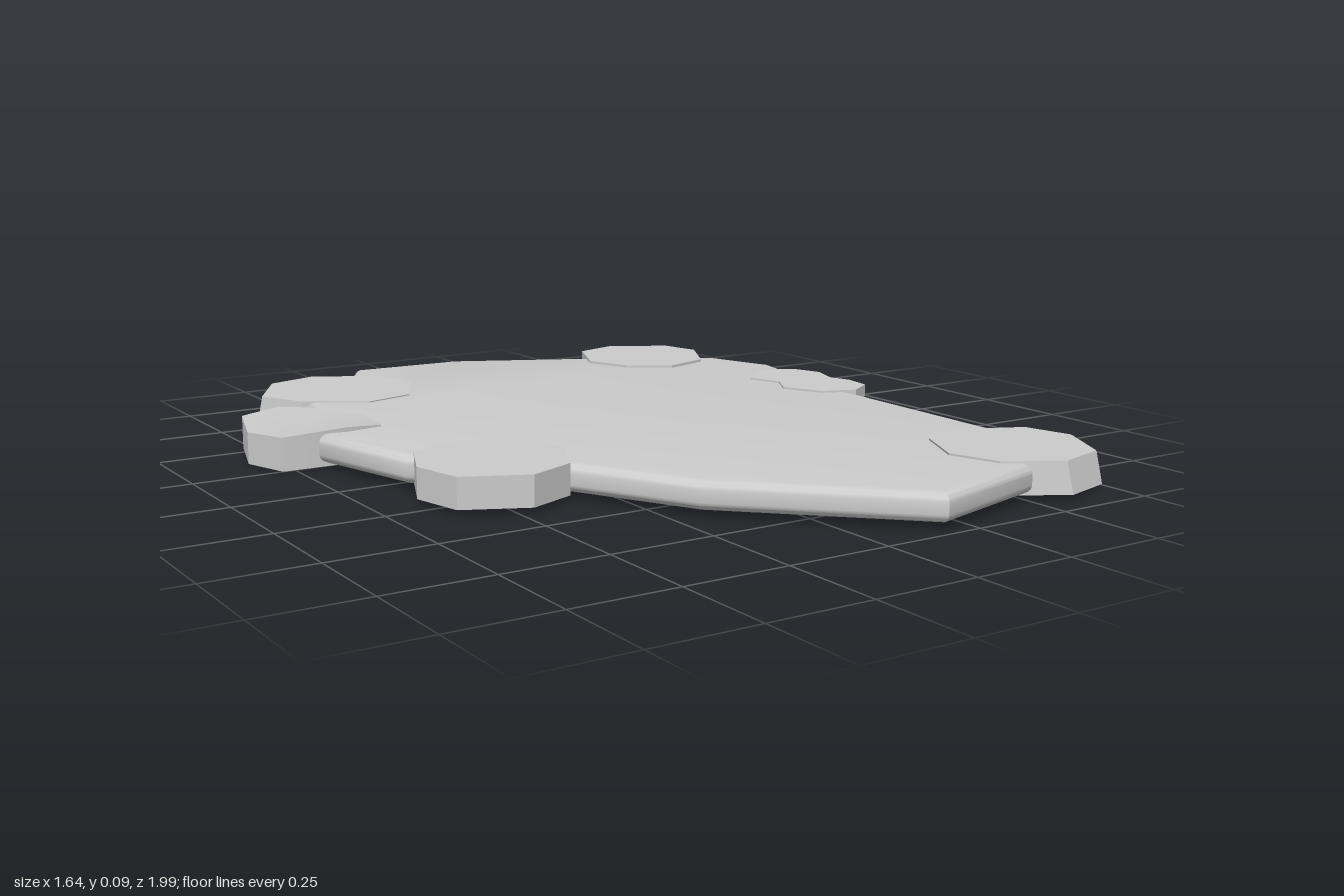
import * as THREE from 'three';
import { mergeVertices, toCreasedNormals } from 'three/addons/utils/BufferGeometryUtils.js';

const material = new THREE.MeshStandardMaterial({ color: 0xcccccc });

// Lays a plan outline of [x, z] points flat and thickens it from y0 to y1.
function slab(name, outline, y0, y1, bevel = 0, move = null, crease = 0.5) {
  const shape = new THREE.Shape(outline.map(([x, z]) => new THREE.Vector2(x, -z)));
  const rise = bevel * 0.8;
  const raw = new THREE.ExtrudeGeometry(shape, {
    depth: y1 - y0 - 2 * rise,
    bevelEnabled: bevel > 0,
    bevelThickness: rise,
    bevelSize: bevel,
    bevelOffset: -bevel,
    bevelSegments: 4,
  });
  raw.rotateX(-Math.PI / 2).translate(0, y0 + rise, 0);
  raw.deleteAttribute('uv');
  raw.deleteAttribute('normal');
  const geometry = mergeVertices(raw, 1e-4);
  if (move) {
    const p = geometry.attributes.position;
    const v = new THREE.Vector3();
    const mid = (y0 + y1) / 2;
    for (let i = 0; i < p.count; i++) {
      v.fromBufferAttribute(p, i);
      move(v, v.y > mid);
      p.setXYZ(i, v.x, v.y, v.z);
    }
  }
  const mesh = new THREE.Mesh(toCreasedNormals(geometry, crease), material);
  mesh.name = name;
  return mesh;
}

// Shifts the underside sideways so that the stone leans.
const lean = (dx, dz) => (v, top) => {
  if (!top) { v.x += dx; v.z += dz; }
};

export function createModel() {
  const group = new THREE.Group();
  group.name = 'stonePlatform';

  // Main plate with rounded rim
  group.add(slab('plate', [
    [-0.26, -1], [0.05, -0.985], [0.39, -0.82], [0.73, -0.62], [0.8, -0.43],
    [0.77, -0.28], [0.72, 0.03], [0.71, 0.6], [0.5, 0.9], [0.17, 0.99],
    [-0.2, 0.63], [-0.35, 0.35], [-0.62, 0.08], [-0.7, -0.22],
    [-0.58, -0.5], [-0.57, -0.62], [-0.32, -0.9],
  ], 0.016, 0.083, 0.025, null, 0.7));

  // Rim stones, clockwise from the back right
  group.add(slab('backRightStone', [
    [-0.64, -0.74], [-0.55, -0.9], [-0.42, -0.94], [-0.25, -0.85],
    [-0.22, -0.72], [-0.3, -0.56], [-0.43, -0.525], [-0.58, -0.62],
  ], 0.014, 0.086, 0, lean(-0.012, -0.008)));

  group.add(slab('backLeftStone', [
    [0.36, -0.72], [0.43, -0.88], [0.55, -0.915], [0.7, -0.83],
    [0.73, -0.72], [0.65, -0.57], [0.52, -0.53], [0.41, -0.6],
  ], 0.012, 0.09));

  // Wedge whose underside rises towards the back
  group.add(slab('leftWedge', [
    [0.6, -0.26], [0.71, -0.35], [0.79, -0.31], [0.82, -0.23], [0.78, -0.11], [0.66, -0.11],
  ], 0.02, 0.087, 0, (v, top) => {
    if (!top) v.y = 0.02 + 0.15 * Math.max(0, -0.12 - v.z);
  }));

  group.add(slab('leftStone', [
    [0.59, -0.1], [0.63, -0.17], [0.72, -0.19], [0.79, -0.14],
    [0.81, -0.09], [0.8, -0.01], [0.73, 0.035], [0.64, 0],
  ], 0.014, 0.088));

  group.add(slab('frontLeftStone', [
    [0.41, 0.73], [0.48, 0.59], [0.6, 0.55], [0.76, 0.62],
    [0.79, 0.74], [0.71, 0.89], [0.58, 0.925], [0.45, 0.85],
  ], 0.012, 0.088, 0, lean(0.008, 0.015)));

  group.add(slab('frontRightStone', [
    [-0.65, 0.2], [-0.59, 0.06], [-0.47, 0.015], [-0.32, 0.06],
    [-0.28, 0.2], [-0.35, 0.35], [-0.47, 0.4], [-0.62, 0.33],
  ], 0.013, 0.086));

  // Bent stone with a crest falling towards the plate
  group.add(slab('rightStone', [
    [-0.82, -0.37], [-0.77, -0.54], [-0.67, -0.555], [-0.6, -0.5], [-0.58, -0.44],
    [-0.51, -0.38], [-0.53, -0.24], [-0.62, -0.225], [-0.78, -0.25],
  ], 0, 0.09, 0, (v, top) => {
    if (top) v.y = v.x < -0.64 ? 0.096 - 0.1 * (-0.64 - v.x) : 0.096 - 0.085 * (v.x + 0.64);
    else v.y = 0.07 * Math.max(0, v.x + 0.7);
  }));

  return group;
}
